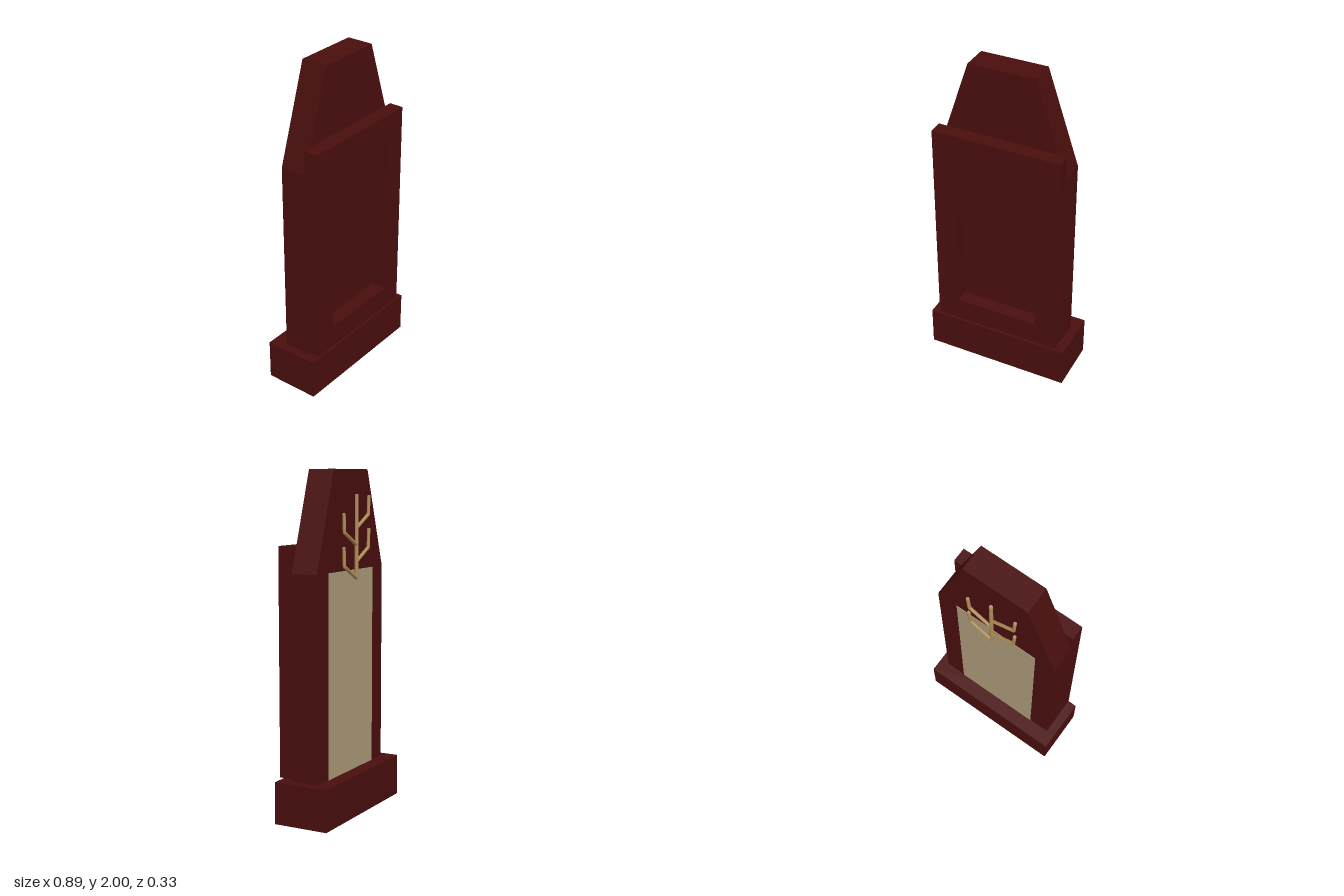
import * as THREE from 'three';

const maroon = new THREE.MeshStandardMaterial({ color: 0x4a0e0e });
maroon.name = 'dark maroon';
const parchment = new THREE.MeshStandardMaterial({ color: 0xab9b79 });
parchment.name = 'parchment';
const bronze = new THREE.MeshStandardMaterial({ color: 0xb08d57 });
bronze.name = 'bronze';

function add(parent, name, geometry, material, x = 0, y = 0, z = 0) {
  const mesh = new THREE.Mesh(geometry, material);
  mesh.name = name;
  mesh.position.set(x, y, z);
  parent.add(mesh);
  return mesh;
}

const outline = (points) => points.map(([x, y]) => new THREE.Vector2(x, y));
const rect = (w, y0, y1) => outline([[-w, y0], [w, y0], [w, y1], [-w, y1]]);
const extrude = (shape, depth) => new THREE.ExtrudeGeometry(shape, { depth, bevelEnabled: false });

// Straight rod between two points in the emblem's plane
function rod(parent, name, [x0, y0], [x1, y1], radius) {
  const length = Math.hypot(x1 - x0, y1 - y0);
  const mesh = add(parent, name, new THREE.CylinderGeometry(radius, radius, length, 8), bronze,
    (x0 + x1) / 2, (y0 + y1) / 2, 0);
  mesh.rotation.z = Math.atan2(y1 - y0, x1 - x0) - Math.PI / 2;
}

export function createModel() {
  const model = new THREE.Group();
  model.name = 'monument';

  // Plinth
  add(model, 'plinth', new THREE.BoxGeometry(0.89, 0.245, 0.333), maroon, 0, 0.1325, 0);

  // Upright slab with tapered head
  const slab = new THREE.Shape(outline([
    [-0.39, 0], [0.39, 0], [0.39, 1.43], [0.2, 2], [-0.2, 2], [-0.39, 1.43],
  ]));
  add(model, 'slab', extrude(slab, 0.158), maroon, 0, 0, -0.079);

  // Raised frame around the recessed front panel
  const frame = new THREE.Shape(rect(0.39, 0.27, 1.58));
  frame.holes.push(new THREE.Path(rect(0.255, 0.41, 1.445)));
  add(model, 'frontFrame', extrude(frame, 0.086), maroon, 0, 0, 0.079);

  // Pale plate on the back
  add(model, 'backPlate', new THREE.BoxGeometry(0.525, 1.2, 0.004), parchment, 0, 0.83, -0.08);

  // Branch emblem: a stem with alternating bent twigs
  const emblem = new THREE.Group();
  emblem.name = 'branchEmblem';
  emblem.position.z = -0.115;
  model.add(emblem);
  rod(emblem, 'stem', [0, 1.38], [0, 1.86], 0.011);
  for (let i = 0; i < 4; i++) {
    const side = i % 2 ? -1 : 1;
    const y = 1.385 + i * 0.095;
    const elbow = [side * 0.143, y + 0.073];
    rod(emblem, 'twig', [0, y], elbow, 0.01);
    rod(emblem, 'twigTip', elbow, [side * 0.15, y + 0.183], 0.01);
    add(emblem, 'twigJoint', new THREE.SphereGeometry(0.01, 8, 6), bronze, ...elbow, 0);
  }
  return model;
}
